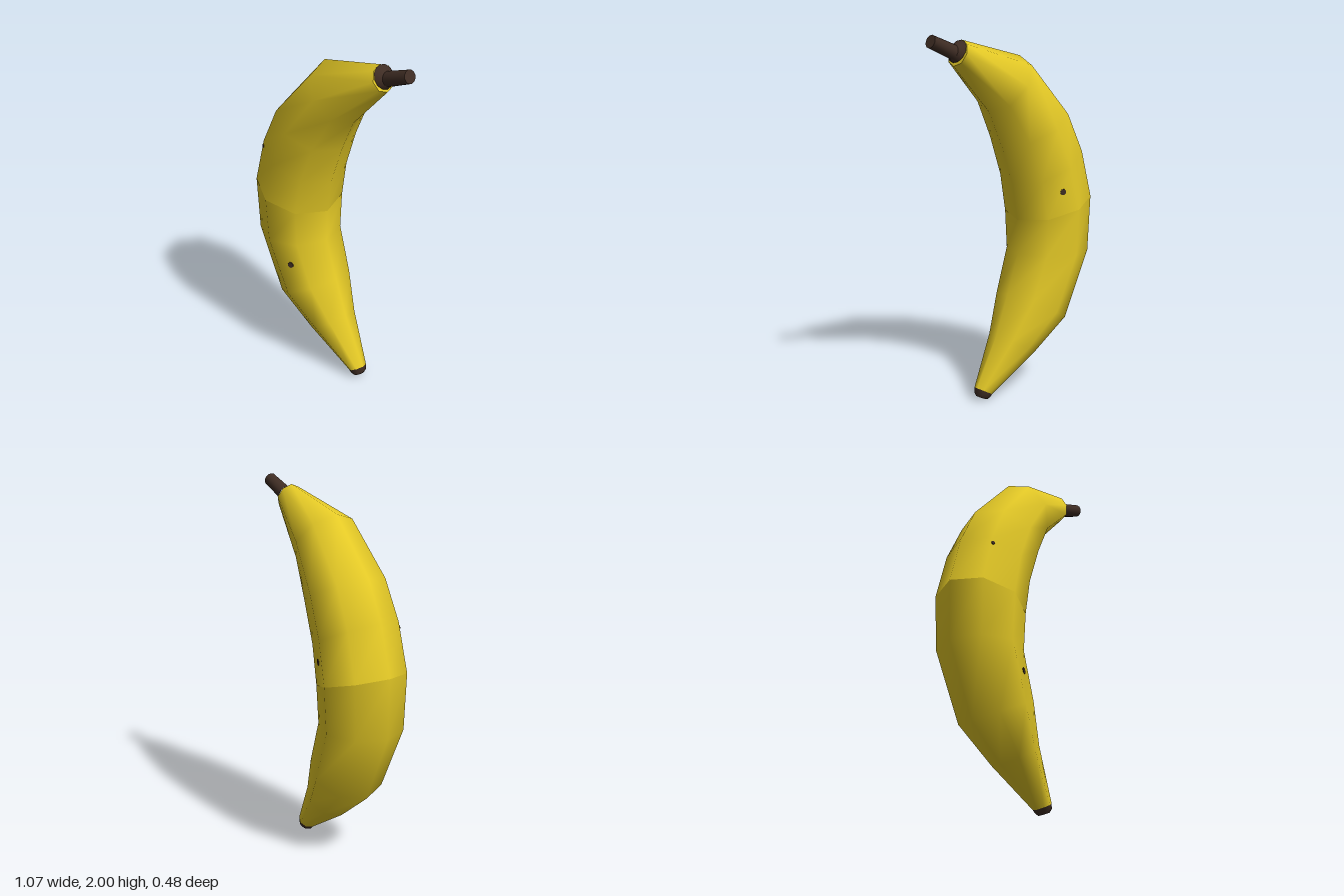
import * as THREE from 'three';

const SIDES = 8;

// Each ring is [outerX, outerY, innerX, innerY]: a circle's diameter in the bend plane.
function ringPoint([ox, oy, ix, iy], angle) {
  const hx = (ox - ix) / 2, hy = (oy - iy) / 2, c = Math.cos(angle);
  return new THREE.Vector3(
    (ox + ix) / 2 + hx * c,
    (oy + iy) / 2 + hy * c,
    Math.hypot(hx, hy) * Math.sin(angle));
}

// Skin running through the rings, from the stem end towards the tip.
function loft(rings, sides = SIDES) {
  const pos = [], index = [];
  rings.forEach((ring, i) => {
    for (let j = 0; j < sides; j++) {
      pos.push(...ringPoint(ring, (j / sides) * Math.PI * 2).toArray());
      if (i === rings.length - 1) continue;
      const a = i * sides + j, b = i * sides + (j + 1) % sides;
      index.push(a, a + sides, b, b, a + sides, b + sides);
    }
  });
  const g = new THREE.BufferGeometry();
  g.setAttribute('position', new THREE.Float32BufferAttribute(pos, 3));
  g.setIndex(index);
  g.computeVertexNormals();
  return g;
}

// Ring shrunk to its centre, used to close an end.
const centre = ([ox, oy, ix, iy]) => {
  const x = (ox + ix) / 2, y = (oy + iy) / 2;
  return [x, y, x, y];
};

export function createModel() {
  const group = new THREE.Group();
  const peel = new THREE.MeshStandardMaterial({ color: 0xe4c926 });
  peel.name = 'yellowPeel';
  const brown = new THREE.MeshStandardMaterial({ color: 0x3f2d24 });
  brown.name = 'darkBrown';

  const add = (name, geometry, material) => {
    const mesh = new THREE.Mesh(geometry, material);
    mesh.name = name;
    group.add(mesh);
    return mesh;
  };

  const body = [
    [0.315, 1.965, 0.37, 1.835],
    [-0.09, 1.86, 0.13, 1.58],
    [-0.36, 1.57, 0.04, 1.39],
    [-0.465, 1.36, -0.04, 1.17],
    [-0.54, 1.09, -0.075, 0.97],
    [-0.53, 0.76, -0.08, 0.78],
    [-0.36, 0.375, 0.0, 0.56],
    [-0.14, 0.2, 0.08, 0.35],
    [0.135, 0.027, 0.225, 0.078],
  ];

  // Body in two halves, which leaves a soft crease where they meet
  add('upperBody', loft(body.slice(0, 5)), peel);
  add('lowerBody', loft(body.slice(4)), peel);

  // Stem with its flared collar
  const stemEnd = [0.506, 2.0, 0.531, 1.935];
  const stemBase = [0.362, 1.945, 0.387, 1.87];
  add('stem', loft([stemEnd, stemBase], 12), brown);
  add('stemCap', loft([centre(stemEnd), stemEnd], 12), brown);
  add('stemCollar', loft([stemBase, [0.317, 1.965, 0.372, 1.852]], 12), brown);
  add('collarBack', loft([body[0], centre(body[0])].reverse()), peel);

  // Dark blossom tip
  const tipEnd = [0.165, 0.003, 0.222, 0.03];
  add('tip', loft([body[8], [0.146, 0.014, 0.23, 0.05], tipEnd]), brown);
  add('tipCap', loft([tipEnd, centre(tipEnd)]), brown);

  // Small spots lying on the peel: [ring, fraction to next ring, angle in degrees, radius]
  const spots = [
    [5, 0.45, 113, 0.017],
    [3, 0.1, 48, 0.01],
    [3, 0.45, -108, 0.017],
  ];
  for (const [i, t, degrees, radius] of spots) {
    const step = (Math.PI * 2) / SIDES;
    const angle = THREE.MathUtils.degToRad(degrees);
    const j = Math.floor(angle / step), s = angle / step - j;
    const across = k => ringPoint(body[k], j * step).lerp(ringPoint(body[k], (j + 1) * step), s);
    const p = across(i).lerp(across(i + 1), t);
    const along = across(i + 1).sub(across(i));
    const round = ringPoint(body[i], (j + 1) * step).sub(ringPoint(body[i], j * step));
    const normal = along.cross(round).normalize();
    const spot = add('spot', new THREE.CylinderGeometry(radius, radius, 0.008, 8), brown);
    spot.position.copy(p);
    spot.quaternion.setFromUnitVectors(new THREE.Vector3(0, 1, 0), normal);
  }

  return group;
}
